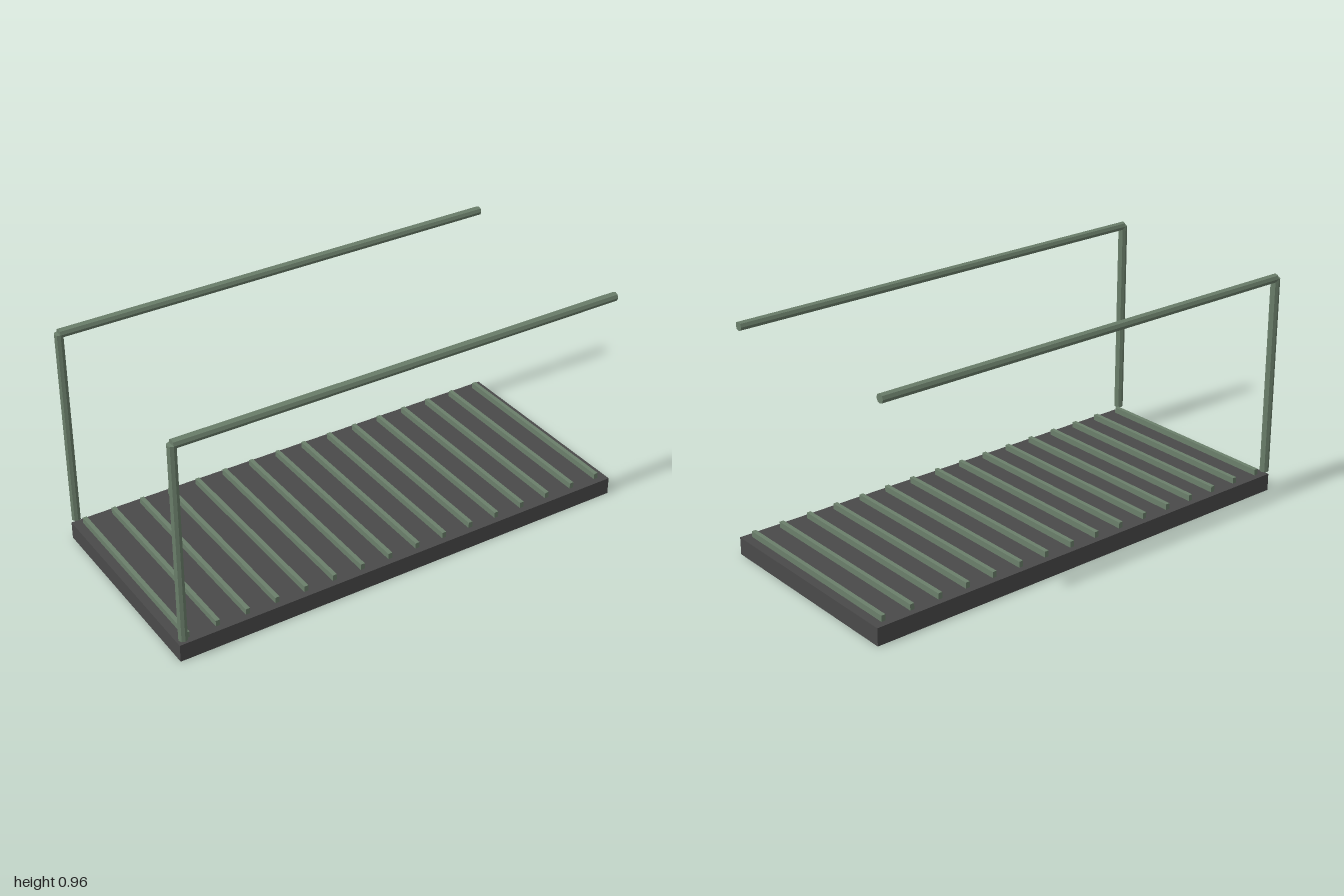
import * as THREE from 'three';

export function createModel() {
  const model = new THREE.Group();
  const deckGrey = new THREE.MeshStandardMaterial({ name: 'deckGrey', color: 0x4a4a4a, flatShading: true });
  const railGreen = new THREE.MeshStandardMaterial({ name: 'railGreen', color: 0x6b7f6b, flatShading: true });

  const add = (name, geometry, material, x, y, z) => {
    const mesh = new THREE.Mesh(geometry, material);
    mesh.name = name;
    mesh.position.set(x, y, z);
    model.add(mesh);
    return mesh;
  };

  // Deck slab
  const deckHeight = 0.074;
  add('deck', new THREE.BoxGeometry(2, deckHeight, 0.908), deckGrey, 0, deckHeight / 2, 0);

  // Raised cross slats, evenly spaced along the deck
  const slatCount = 16, slatEnd = 0.953;
  const slat = new THREE.BoxGeometry(0.018, 0.025, 0.854);
  for (let i = 0; i < slatCount; i++) {
    const x = -slatEnd + (2 * slatEnd * i) / (slatCount - 1);
    add('slat', slat, railGreen, x, deckHeight + 0.0125, 0);
  }

  // Handrails: one post and one long rail on each side
  const radius = 0.0187, railY = 0.937, postX = -0.981, postBase = 0.092;
  const railStart = -0.981, railEnd = 0.953;
  const post = new THREE.CylinderGeometry(radius, radius, railY - postBase, 8);
  const rail = new THREE.CylinderGeometry(radius, radius, railEnd - railStart, 8).rotateZ(Math.PI / 2);
  for (const [side, z] of [['front', 0.446], ['back', -0.446]]) {
    add(side + 'Post', post, railGreen, postX, (railY + postBase) / 2, z);
    add(side + 'Rail', rail, railGreen, (railStart + railEnd) / 2, railY, z);
  }
  return model;
}
